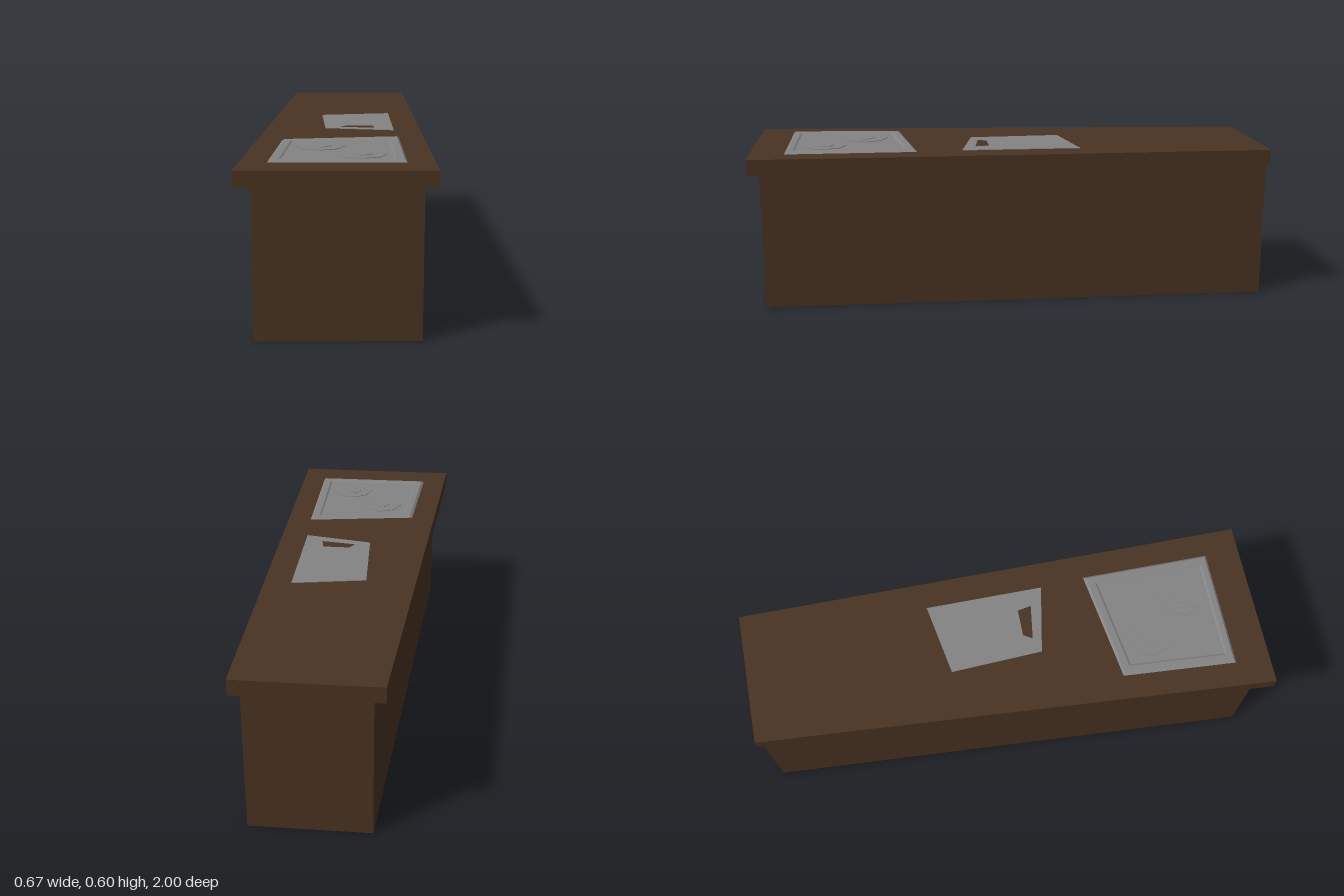
import * as THREE from 'three';

// Outlines are [x, z] corners: back right-hand, back left-hand, front left-hand, front right-hand
const COUNTER = [[-0.19, -1], [0.333, -1], [0.333, 1], [-0.333, 1]];
const BODY = [[-0.15, -0.998], [0.29, -0.998], [0.29, 0.957], [-0.277, 0.957]];
const SINK = [[-0.055, -0.22], [0.228, -0.27], [0.228, 0.19], [-0.039, 0.138]];
const SINK_HOLE = [[0.042, 0.08], [0.148, 0.08], [0.158, 0.134], [0.021, 0.114]];
const HOB = [[-0.198, 0.427], [0.238, 0.363], [0.238, 0.867], [-0.229, 0.867]];
const HOB_RIM = [[-0.188, 0.434], [0.23, 0.373], [0.23, 0.859], [-0.219, 0.859]];
const HOB_EDGE = [[-0.165, 0.457], [0.203, 0.404], [0.203, 0.838], [-0.192, 0.838]];
const HOB_PAN = [[-0.158, 0.464], [0.198, 0.412], [0.198, 0.83], [-0.184, 0.83]];

// Flat-sided skin through four-cornered loops, optionally closed on top
function loft(loops, cap) {
  const pos = [];
  const at = (l, i) => {
    const [x, z] = loops[l].pts[i % 4];
    return [x, loops[l].y, z];
  };
  for (let l = 0; l < loops.length - 1; l++) {
    for (let i = 0; i < 4; i++) {
      const a = at(l, i), b = at(l, i + 1), c = at(l + 1, i + 1), d = at(l + 1, i);
      pos.push(...a, ...d, ...c, ...a, ...c, ...b);
    }
  }
  if (cap) {
    const t = loops.length - 1;
    for (const i of [0, 2, 1, 0, 3, 2]) pos.push(...at(t, i));
  }
  const g = new THREE.BufferGeometry();
  g.setAttribute('position', new THREE.Float32BufferAttribute(pos, 3));
  g.computeVertexNormals();
  return g;
}

// Upright slab from an outline with optional hole
function slab(pts, y, height, hole) {
  const flat = (p) => p.map(([x, z]) => new THREE.Vector2(x, -z));
  const shape = new THREE.Shape(flat(pts));
  if (hole) shape.holes.push(new THREE.Path(flat(hole)));
  return new THREE.ExtrudeGeometry(shape, { depth: height, bevelEnabled: false })
    .rotateX(-Math.PI / 2)
    .translate(0, y, 0);
}

export function createModel() {
  const model = new THREE.Group();
  model.name = 'kitchenCounter';

  const wood = new THREE.MeshStandardMaterial({ color: 0x4a3422 });
  wood.name = 'dark wood';
  wood.side = THREE.DoubleSide;
  const steel = new THREE.MeshStandardMaterial({ color: 0x848484 });
  steel.name = 'grey steel';

  const add = (name, geometry, material, parent = model) => {
    const mesh = new THREE.Mesh(geometry, material);
    mesh.name = name;
    parent.add(mesh);
    return mesh;
  };

  // Cabinet walls, open underneath, and the overhanging worktop
  add('cabinet', loft([{ pts: BODY, y: 0 }, { pts: BODY, y: 0.53 }]), wood);
  add('worktop', slab(COUNTER, 0.53, 0.06), wood);

  // Thin plate with a cut-out
  add('sinkPlate', slab(SINK, 0.59, 0.002, SINK_HOLE), steel);

  // Hob: bevelled rim stepping down into a shallow pan
  const hob = new THREE.Group();
  hob.name = 'hob';
  model.add(hob);
  add('hobTray', loft([
    { pts: HOB, y: 0.59 },
    { pts: HOB_RIM, y: 0.597 },
    { pts: HOB_EDGE, y: 0.597 },
    { pts: HOB_PAN, y: 0.593 },
  ], true), steel, hob);

  // Two eight-sided burners, each with a raised centre
  for (const [x, z] of [[-0.053, 0.565], [0.09, 0.724]]) {
    const plate = add('burnerPlate', new THREE.CylinderGeometry(0.088, 0.088, 0.002, 8), steel, hob);
    plate.position.set(x, 0.594, z);
    const centre = add('burnerCentre', new THREE.CylinderGeometry(0.038, 0.038, 0.002, 8), steel, hob);
    centre.position.set(x, 0.5955, z);
  }

  return model;
}
